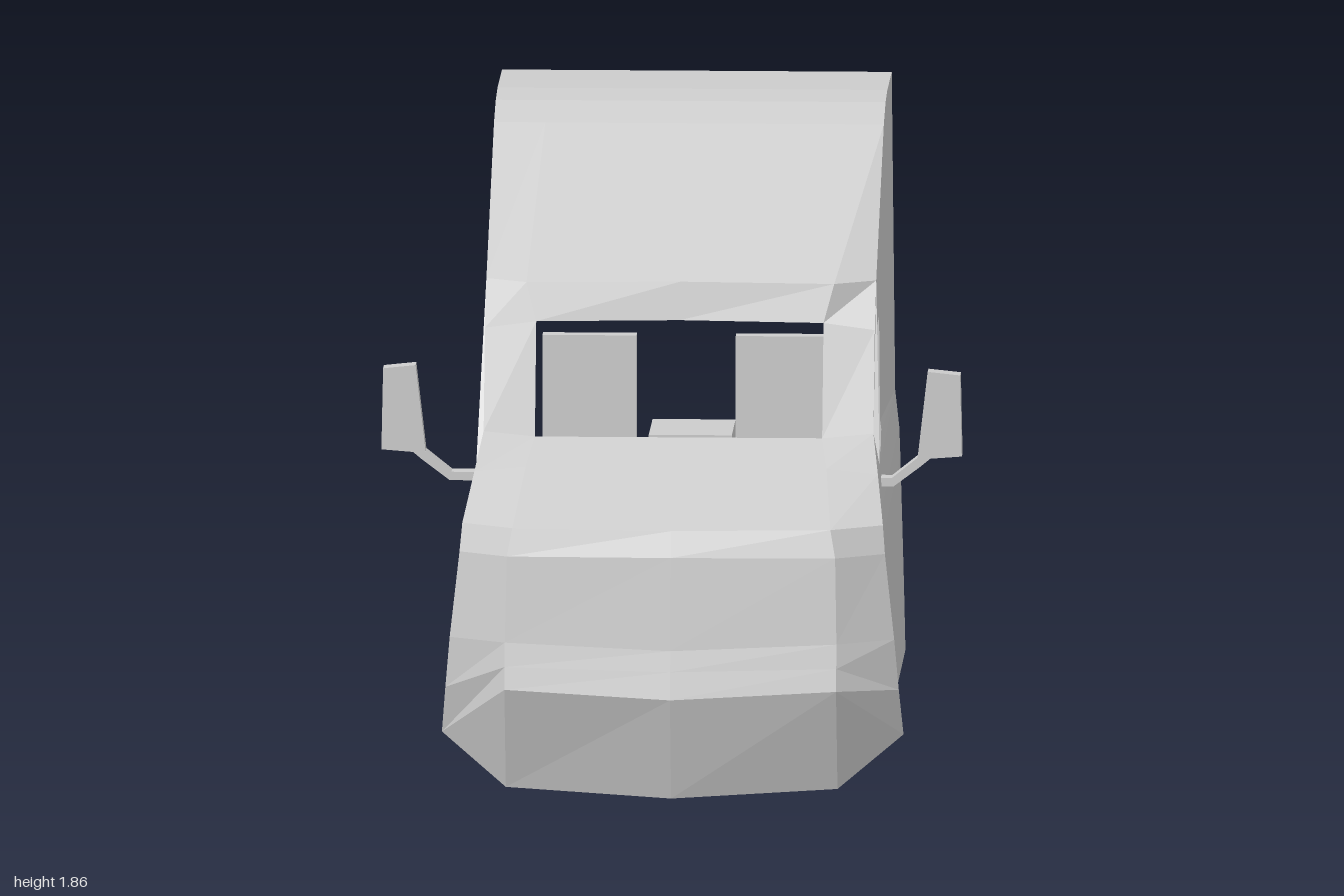
import * as THREE from 'three';

const grey = new THREE.MeshStandardMaterial({ color: 0xcccccc, flatShading: true, side: THREE.DoubleSide });
grey.name = 'light grey';

// Surface through rows of points; skip(row, column) leaves a quad open
function loft(rows, skip = () => false) {
  const n = rows[0].length, index = [];
  for (let r = 0; r < rows.length - 1; r++) {
    for (let c = 0; c < n - 1; c++) {
      if (skip(r, c)) continue;
      const a = r * n + c, b = a + n;
      index.push(a, b, a + 1, b, b + 1, a + 1);
    }
  }
  const g = new THREE.BufferGeometry();
  g.setAttribute('position', new THREE.Float32BufferAttribute(rows.flat(2), 3));
  g.setIndex(index);
  g.computeVertexNormals();
  return g;
}

const polygon = (pts) => pts.map(([x, y]) => new THREE.Vector2(x, y));

function add(parent, name, geometry) {
  const mesh = new THREE.Mesh(geometry, grey);
  mesh.name = name;
  parent.add(mesh);
  return mesh;
}

function box(parent, name, x0, x1, y0, y1, z0, z1) {
  const mesh = add(parent, name, new THREE.BoxGeometry(x1 - x0, y1 - y0, z1 - z0));
  mesh.position.set((x0 + x1) / 2, (y0 + y1) / 2, (z0 + z1) / 2);
}

// Half profile from rear roof over the nose to the rear floor: centre, corner, side
const PROFILE = [
  [[0, 1.86, -1], [0.42, 1.86, -1], [0.57, 1.86, -1]],
  [[0, 1.86, -0.67], [0.42, 1.86, -0.67], [0.57, 1.86, -0.67]],
  [[0, 1.845, -0.54], [0.42, 1.845, -0.54], [0.57, 1.845, -0.54]],
  [[0, 1.8, -0.41], [0.42, 1.8, -0.41], [0.57, 1.8, -0.41]],
  [[0, 1.435, 0.23], [0.45, 1.43, 0.225], [0.57, 1.43, 0.155]],
  [[0, 1.325, 0.255], [0.42, 1.32, 0.26], [0.57, 1.3, 0.26]],
  [[0, 0.995, 0.36], [0.42, 0.995, 0.36], [0.57, 1.01, 0.36]],
  [[0, 0.935, 0.545], [0.44, 0.935, 0.545], [0.59, 0.92, 0.545]],
  [[0, 0.805, 0.9], [0.465, 0.81, 0.895], [0.615, 0.81, 0.8]],
  [[0, 0.73, 0.93], [0.48, 0.73, 0.92], [0.622, 0.73, 0.83]],
  [[0, 0.46, 0.965], [0.485, 0.48, 0.95], [0.65, 0.48, 0.85]],
  [[0, 0.4, 0.98], [0.485, 0.41, 0.965], [0.663, 0.33, 0.84]],
  [[0, 0.32, 1], [0.485, 0.345, 0.98], [0.675, 0.19, 0.79]],
  [[0, 0.015, 0.91], [0.485, 0.04, 0.87], [0.675, 0.19, 0.79]],
  [[0, 0, 0.38], [0.485, 0, 0.38], [0.615, 0.15, 0.4]],
  [[0, 0, -1], [0.485, 0, -1], [0.61, 0.15, -1]],
];

// Lower side panel: rear, middle and front points of each row
const SIDE = [
  [[0.58, 0.92, -1], [0.59, 0.92, 0.4], [0.59, 0.92, 0.545]],
  [[0.592, 0.81, -1], [0.6, 0.81, 0.4], [0.615, 0.81, 0.8]],
  [[0.595, 0.73, -1], [0.604, 0.73, 0.4], [0.622, 0.73, 0.83]],
  [[0.602, 0.48, -1], [0.61, 0.48, 0.4], [0.65, 0.48, 0.85]],
  [[0.606, 0.33, -1], [0.613, 0.33, 0.4], [0.663, 0.33, 0.84]],
  [[0.61, 0.15, -1], [0.615, 0.15, 0.4], [0.675, 0.19, 0.79]],
];

// Upper side panel with its window, drawn in z and y, flaring slightly below the sill
function upperSide() {
  const shape = new THREE.Shape(polygon([
    [-1, 0.92], [0.4, 0.92], [0.545, 0.92], [0.36, 1.01], [0.26, 1.3], [0.155, 1.43],
    [-0.41, 1.8], [-0.54, 1.845], [-0.67, 1.86], [-1, 1.86],
  ]));
  shape.holes.push(new THREE.Path(polygon([
    [0.275, 1.06], [0.175, 1.285], [-0.06, 1.29], [-0.035, 0.985],
    [0, 0.965], [0.245, 0.935], [0.275, 1.01],
  ])));
  const g = new THREE.ShapeGeometry(shape);
  const p = g.attributes.position;
  for (let i = 0; i < p.count; i++) {
    const z = p.getX(i), y = p.getY(i);
    const flare = Math.max(0, 1 - y) * (z < -0.5 ? 0.125 : 0.25);
    p.setXYZ(i, 0.57 + flare, y, z);
  }
  g.computeVertexNormals();
  return g;
}

// Upright return strip at the open rear end
function rearStrip() {
  return new THREE.ShapeGeometry(new THREE.Shape(polygon([
    [0.485, 0], [0.61, 0.15], [0.602, 0.48], [0.592, 0.81], [0.58, 0.92],
    [0.57, 1], [0.57, 1.86], [0.485, 1.86],
  ]))).translate(0, 0, -1);
}

// Mirror housing and bent arm, extruded front to back
function mirrorParts(parent) {
  const outlines = {
    mirrorHousing: [[0.72, 0.94], [0.85, 0.95], [0.845, 1.19], [0.75, 1.2]],
    mirrorArm: [[0.57, 0.86], [0.65, 0.86], [0.73, 0.92], [0.76, 0.945],
      [0.72, 0.945], [0.645, 0.885], [0.57, 0.885]],
  };
  for (const [name, pts] of Object.entries(outlines)) {
    add(parent, name, new THREE.ExtrudeGeometry(new THREE.Shape(polygon(pts)), { depth: 0.06, bevelEnabled: false }));
  }
}

export function createModel() {
  const model = new THREE.Group();
  model.name = 'vanCab';
  const cab = new THREE.Group();
  cab.name = 'cab';
  cab.position.x = 0.02;
  model.add(cab);

  // Roof, nose and floor shell with the windscreen left open
  const full = PROFILE.map(([m, c, s]) => {
    const flip = ([x, y, z]) => [-x, y, z];
    return [flip(s), flip(c), m, c, s];
  });
  add(cab, 'shell', loft(full, (r, c) => r === 5 && (c === 1 || c === 2)));

  // Mirrored sides, seats and door mirrors
  for (const s of [1, -1]) {
    const label = s > 0 ? 'left' : 'right';
    const half = new THREE.Group();
    half.name = label + 'Side';
    half.scale.x = s;
    cab.add(half);
    add(half, 'upperSidePanel', upperSide());
    add(half, 'lowerSidePanel', loft(SIDE));
    add(half, 'rearStrip', rearStrip());
    box(half, 'seatCushion', 0.145, 0.42, 0.61, 0.85, -0.31, 0.05);
    box(half, 'seatBack', 0.145, 0.42, 0.85, 1.205, -0.25, -0.2);

    const mirror = new THREE.Group();
    mirror.name = label + 'Mirror';
    mirror.scale.x = s;
    mirror.position.z = s > 0 ? 0.34 : 0.275;
    model.add(mirror);
    mirrorParts(mirror);
  }

  // Console between the seats
  box(cab, 'console', -0.1, 0.143, 0.61, 0.95, -0.25, 0.04);
  return model;
}
